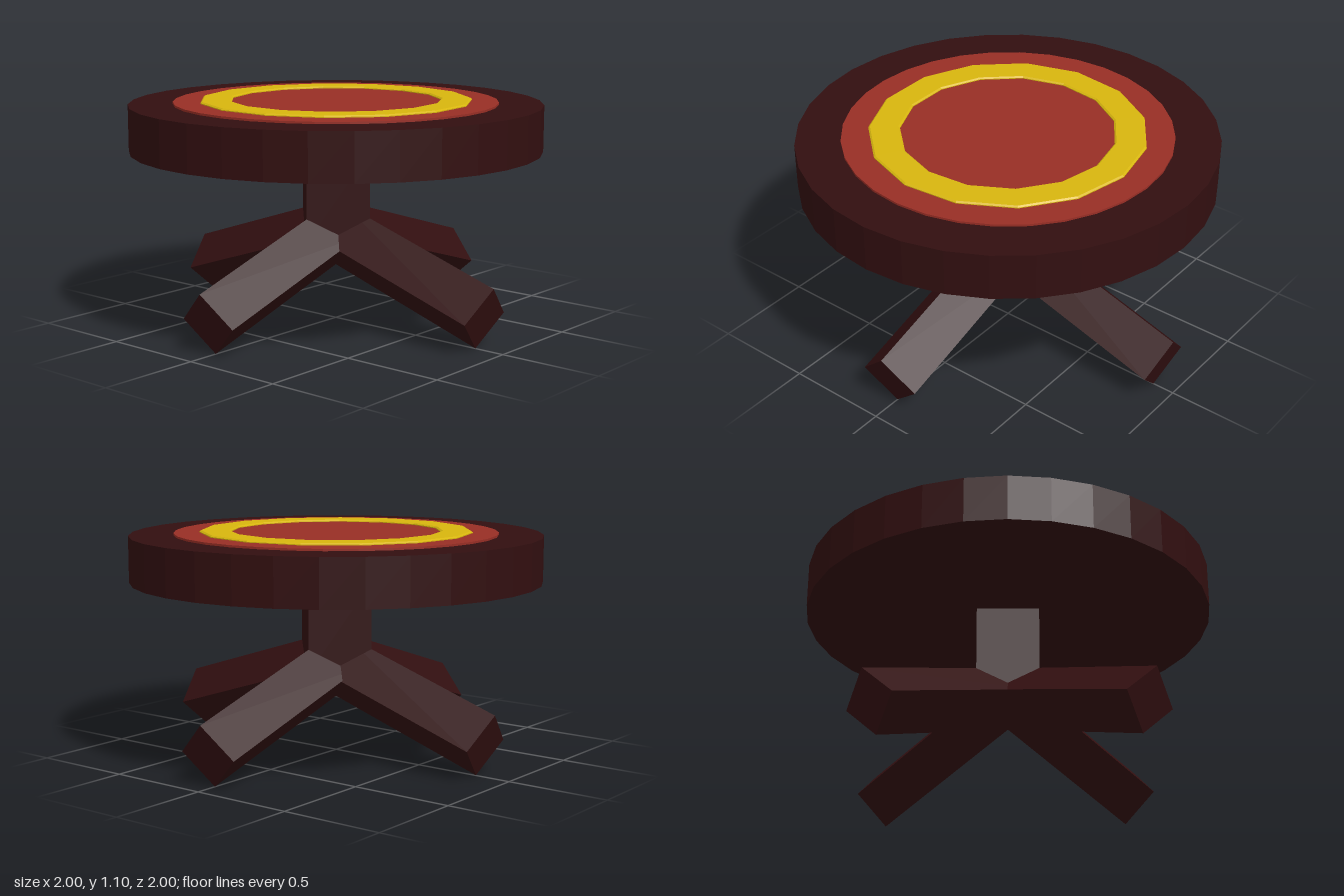
import * as THREE from 'three';

const wood = new THREE.MeshStandardMaterial({ color: 0x320f10 });
wood.name = 'darkWood';
const red = new THREE.MeshStandardMaterial({ color: 0x982e25 });
red.name = 'redInlay';
const yellow = new THREE.MeshStandardMaterial({ color: 0xd8b60e });
yellow.name = 'yellowInlay';

// Faceted mesh: unshared vertices give each face its own normal
function part(name, geometry, material, y = 0) {
  const flat = geometry.toNonIndexed();
  flat.computeVertexNormals();
  const mesh = new THREE.Mesh(flat, material);
  mesh.name = name;
  mesh.position.y = y;
  return mesh;
}

// Upright prism between two heights
function prism(name, radius, y0, y1, sides, material) {
  const geometry = new THREE.CylinderGeometry(radius, radius, y1 - y0, sides);
  return part(name, geometry, material, (y0 + y1) / 2);
}

// Square beam standing on its edge, sloping from the hub down to the floor
function leg(name, reach, angle) {
  const hubY = 0.44, endY = 0.154, halfDiagonal = 0.156;
  const length = Math.hypot(reach, hubY - endY);
  const geometry = new THREE.CylinderGeometry(halfDiagonal, halfDiagonal, length, 4);
  geometry.rotateZ(-Math.PI / 2);
  geometry.translate(length / 2, 0, 0);
  geometry.rotateZ(-Math.atan2(hubY - endY, reach));
  geometry.rotateY(angle);
  return part(name, geometry, wood, hubY);
}

export function createModel() {
  const model = new THREE.Group();
  model.name = 'roundTable';

  // Table top with a raised red disc
  model.add(prism('tableTop', 1, 0.855, 1.08, 32, wood));
  model.add(prism('redDisc', 0.785, 1.08, 1.09, 32, red));

  // Yellow ring, fifteen-sided, with slightly bevelled rims
  const profile = [[0.66, 1.085], [0.66, 1.094], [0.652, 1.1], [0.518, 1.1], [0.51, 1.094], [0.51, 1.085]]
    .map(([x, y]) => new THREE.Vector2(x, y));
  model.add(part('yellowRing', new THREE.LatheGeometry(profile, 15, Math.PI / 2), yellow));

  // Square post, corners in line with the legs
  model.add(prism('post', 0.216, 0.42, 0.86, 4, wood));

  // Four sloping legs
  const legs = [['leftLeg', 0.935], ['backLeg', 0.87], ['rightLeg', 0.89], ['frontLeg', 0.895]];
  legs.forEach(([name, reach], i) => model.add(leg(name, reach, i * Math.PI / 2)));

  return model;
}
